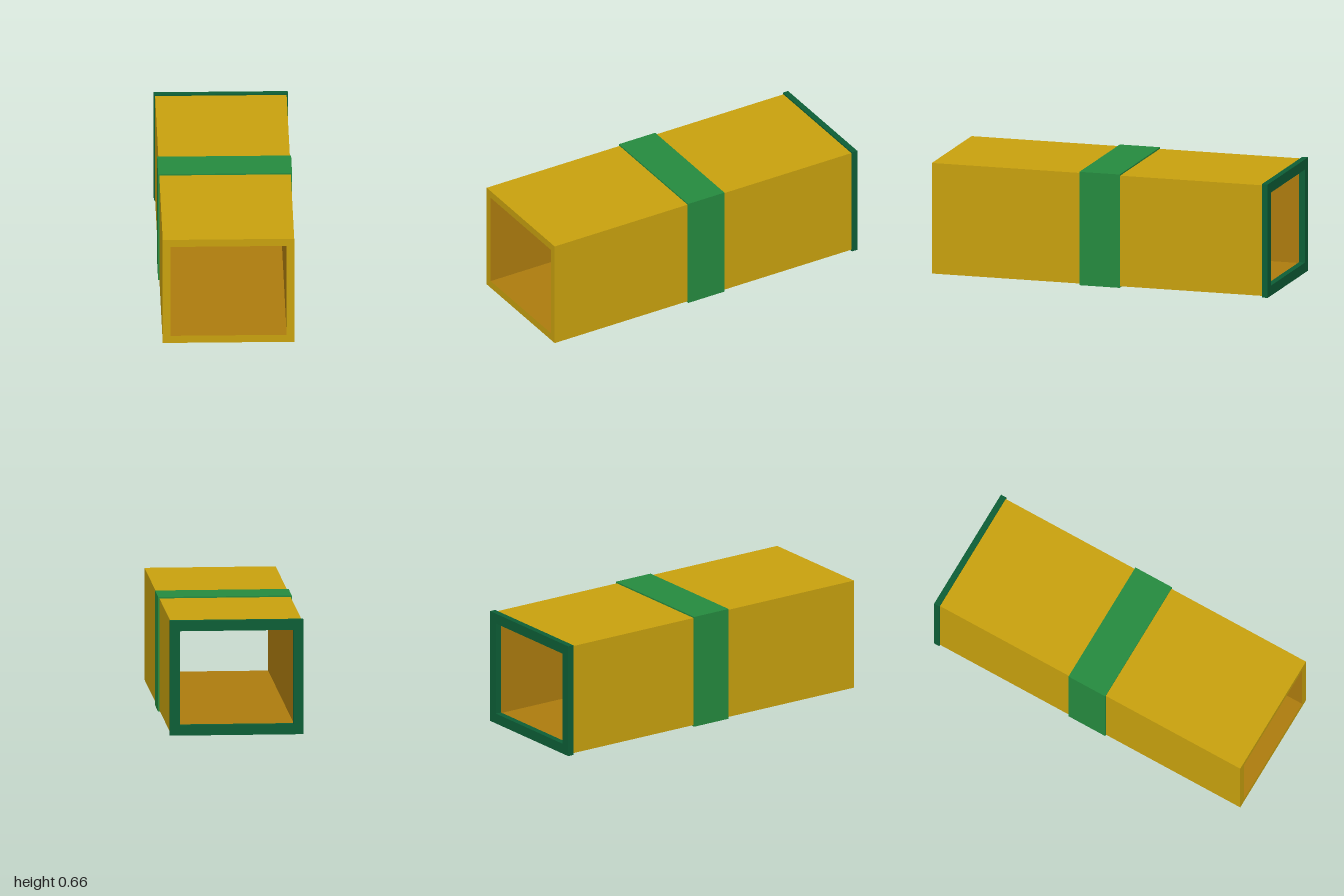
import * as THREE from 'three';

const CENTRE_Y = 0.329;

function rectPoints(w, h) {
  return [[-w, -h], [w, -h], [w, h], [-w, h]].map(([x, y]) => new THREE.Vector2(x, y));
}

// Rectangular ring with half sizes (w, h), a hole of half sizes (iw, ih), from z0 to z1
function frame(name, w, h, iw, ih, z0, z1, outer, inner) {
  const shape = new THREE.Shape(rectPoints(w, h));
  shape.holes.push(new THREE.Path(rectPoints(iw, ih).reverse()));
  const geo = new THREE.ExtrudeGeometry(shape, { depth: z1 - z0, bevelEnabled: false });

  // Outer walls come first in the side group, the hole's walls second
  const [caps, sides] = geo.groups;
  const half = sides.count / 2;
  geo.clearGroups();
  geo.addGroup(caps.start, caps.count, 0);
  geo.addGroup(sides.start, half, 0);
  geo.addGroup(sides.start + half, half, 1);

  const mesh = new THREE.Mesh(geo, [outer, inner]);
  mesh.name = name;
  mesh.position.set(0, CENTRE_Y, z0);
  return mesh;
}

export function createModel() {
  const mat = (name, color) => {
    const m = new THREE.MeshStandardMaterial({ color });
    m.name = name;
    return m;
  };
  const gold = mat('gold', 0xc8a10e);
  const amber = mat('amber lining', 0xac7b0e);
  const green = mat('green', 0x258a3f);
  const darkGreen = mat('dark green', 0x0d5e36);

  const group = new THREE.Group();
  group.name = 'squareDuct';
  group.add(
    // Long hollow body with a darker lining
    frame('ductBody', 0.373, 0.321, 0.33, 0.277, -0.965, 1, gold, amber),
    // Band wrapped round the middle
    frame('middleBand', 0.38, 0.329, 0.372, 0.32, -0.12, 0.12, green, green),
    // Rim closing the back edge
    frame('backRim', 0.38, 0.329, 0.322, 0.27, -1, -0.965, darkGreen, darkGreen),
  );
  return group;
}
